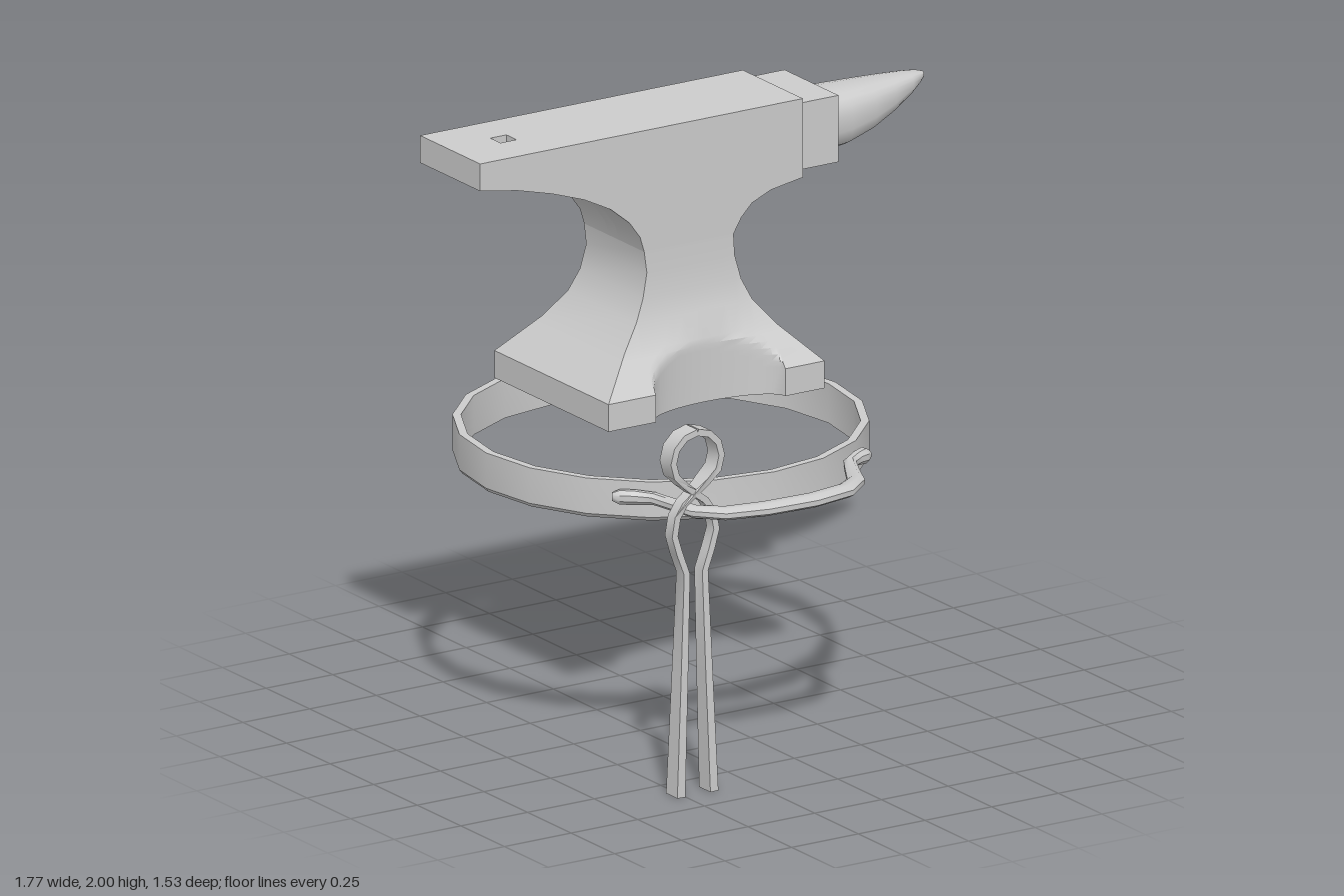
import * as THREE from 'three';
import { toCreasedNormals } from 'three/addons/utils/BufferGeometryUtils.js';

const material = new THREE.MeshStandardMaterial({ color: 0xcccccc });
const V = (x, y, z) => new THREE.Vector3(x, y, z);
const ZC = -0.1125; // middle plane of the anvil

function part(name, geometry, crease = 0.6) {
  const mesh = new THREE.Mesh(toCreasedNormals(geometry, crease), material);
  mesh.name = name;
  return mesh;
}

// Skin rings of equal length, each counterclockwise as seen from the last one.
function loft(rings) {
  const out = [];
  const quad = (a, b, c, d) => out.push(a, b, c, a, c, d);
  const n = rings[0].length;
  for (let k = 0; k < rings.length - 1; k++) {
    const lo = rings[k], hi = rings[k + 1];
    for (let i = 0; i < n; i++) {
      const j = (i + 1) % n;
      quad(lo[i], lo[j], hi[j], hi[i]);
    }
  }
  const first = rings[0], last = rings[rings.length - 1];
  for (let i = 0; i < n / 2 - 1; i++) {
    quad(first[n - 1 - i], first[n - 2 - i], first[i + 1], first[i]);
    quad(last[i], last[i + 1], last[n - 2 - i], last[n - 1 - i]);
  }
  return new THREE.BufferGeometry().setFromPoints(out);
}

// Linear lookup in rows whose first entry is the key.
function lookup(rows, key, column) {
  let i = 0;
  while (i < rows.length - 2 && key > rows[i + 1][0]) i++;
  const [a, b] = [rows[i], rows[i + 1]];
  const t = THREE.MathUtils.clamp((key - a[0]) / (b[0] - a[0]), 0, 1);
  return THREE.MathUtils.lerp(a[column], b[column], t);
}

// Foot and waist: flared block with a rounded notch in the front and back.
function makeBase() {
  const rows = [ // y, left x, right x, half depth
    [1.09, -0.51, 0.30, 0.3275], [1.18, -0.51, 0.30, 0.3275], [1.3, -0.39, 0.18, 0.235],
    [1.38, -0.32, 0.115, 0.197], [1.45, -0.285, 0.083, 0.181], [1.53, -0.266, 0.063, 0.174],
    [1.6, -0.275, 0.06, 0.1725]];
  const levels = [1.09, 1.18, 1.2, 1.22, 1.24, 1.26, 1.28, 1.3, 1.38, 1.45, 1.53, 1.6];
  const steps = 14, mid = -0.09, half = 0.243;
  const rings = levels.map((y) => {
    const [x0, x1, h] = [1, 2, 3].map((c) => lookup(rows, y, c));
    const edge = [[x0, h]];
    for (let i = 0; i <= steps; i++) {
      const u = -Math.cos((i / steps) * Math.PI);
      const notch = 0.2375 + 0.09 * (1 - Math.sqrt(Math.max(0, 1 - u * u)));
      edge.push([THREE.MathUtils.clamp(mid + u * half, x0, x1), Math.min(h, notch)]);
    }
    edge.push([x1, h]);
    return [...edge.map(([x, z]) => V(x, y, ZC + z)),
      ...edge.reverse().map(([x, z]) => V(x, y, ZC - z))];
  });
  return part('base', loft(rings), 0.5);
}

// Face and heel: slabs side by side, the middle one parted by the square hole.
function makeFace() {
  const group = new THREE.Group();
  group.name = 'face';
  const under = [[-0.89, 1.91], [-0.75, 1.887], [-0.62, 1.853], [-0.5, 1.812], [-0.4, 1.762],
    [-0.33, 1.705], [-0.29, 1.65], [-0.275, 1.6], [0.06, 1.6], [0.09, 1.65], [0.13, 1.69],
    [0.2, 1.72], [0.32, 1.74]];
  const slab = (x0, x1, z0, z1) => {
    const points = [[x0, lookup(under, x0, 1)], ...under.filter(([x]) => x > x0 && x < x1),
      [x1, lookup(under, x1, 1)], [x1, 2], [x0, 2]];
    const shape = new THREE.Shape(points.map(([x, y]) => new THREE.Vector2(x, y)));
    const geometry = new THREE.ExtrudeGeometry(shape, { depth: z1 - z0, bevelEnabled: false });
    group.add(part('faceSlab', geometry.translate(0, 0, z0)));
  };
  const back = ZC - 0.1725, front = ZC + 0.1725;
  slab(-0.89, 0.32, back, ZC - 0.029);
  slab(-0.89, 0.32, ZC + 0.029, front);
  slab(-0.89, -0.72, ZC - 0.029, ZC + 0.029);
  slab(-0.66, 0.32, ZC - 0.029, ZC + 0.029);
  return group;
}

// Horn: rounded square sections shrinking to a raised tip.
function makeHorn() {
  const rows = [ // x, bottom, top, half width
    [0.46, 1.765, 1.957, 0.118], [0.55, 1.772, 1.957, 0.11], [0.65, 1.8, 1.956, 0.093],
    [0.74, 1.84, 1.955, 0.07], [0.82, 1.885, 1.953, 0.045], [0.86, 1.912, 1.95, 0.026],
    [0.88, 1.925, 1.945, 0.01]];
  const soft = (v) => Math.sign(v) * Math.abs(v) ** 0.72;
  const rings = rows.map(([x, y0, y1, w]) => Array.from({ length: 20 }, (_, i) => {
    const a = ((i + 0.5) / 20) * Math.PI * 2;
    return V(x, (y0 + y1) / 2 + soft(Math.sin(a)) * (y1 - y0) / 2, ZC - soft(Math.cos(a)) * w);
  }));
  return part('horn', loft(rings), 0.8);
}

// Band that circles the stump.
function makeBand() {
  const profile = [[0.628, 0.845], [0.645, 0.845], [0.655, 0.858], [0.655, 0.975],
    [0.628, 0.975], [0.628, 0.845]].map(([r, y]) => new THREE.Vector2(r, y));
  const band = part('band', new THREE.LatheGeometry(profile, 20), 0.5);
  band.position.set(-0.1, 0, ZC);
  return band;
}

// Hanging bar: bowed rod, thicker in the middle, with knobbed ends on the band.
function makeBar() {
  const rows = [ // x, z, horizontal radius, vertical radius
    [-0.585, 0.35, 0.012, 0.014], [-0.565, 0.365, 0.022, 0.025], [-0.53, 0.395, 0.022, 0.025],
    [-0.485, 0.44, 0.022, 0.02], [-0.47, 0.52, 0.022, 0.02], [-0.45, 0.62, 0.028, 0.02],
    [-0.38, 0.685, 0.035, 0.021], [-0.25, 0.715, 0.038, 0.022], [-0.08, 0.724, 0.038, 0.022],
    [0.06, 0.7, 0.036, 0.022], [0.14, 0.64, 0.03, 0.02], [0.19, 0.54, 0.024, 0.02],
    [0.225, 0.475, 0.022, 0.02], [0.27, 0.445, 0.023, 0.023], [0.305, 0.433, 0.026, 0.027],
    [0.325, 0.43, 0.014, 0.015]];
  const up = V(0, 1, 0);
  const at = (i) => V(rows[i][0], 0.927, rows[i][1]);
  const rings = rows.map(([, , w, h], i) => {
    const ahead = at(Math.min(i + 1, rows.length - 1)).sub(at(Math.max(i - 1, 0))).normalize();
    const side = up.clone().cross(ahead);
    return Array.from({ length: 8 }, (_, k) => {
      const a = ((k + 0.5) / 8) * Math.PI * 2;
      return at(i).addScaledVector(side, Math.cos(a) * w).addScaledVector(up, Math.sin(a) * h);
    });
  });
  return part('hangingBar', loft(rings), 0.7);
}

// Tongs: two mirrored ribbons that cross below a looped top.
function makeTongs() {
  const group = new THREE.Group();
  group.name = 'tongs';
  group.position.set(-0.455, 0, 0.611);
  const path = [ // x, y, half width
    [-0.062, 0, 0.015], [-0.046, 0.4, 0.013], [-0.034, 0.73, 0.011], [-0.06, 0.8, 0.011],
    [-0.078, 0.86, 0.011], [-0.067, 0.92, 0.011], [-0.04, 0.96, 0.011], [0, 0.99, 0.011]];
  for (let i = 1; i <= 6; i++) {
    const a = -Math.PI / 2 + (i / 6) * Math.PI;
    path.push([Math.cos(a) * 0.09, 1.105 + Math.sin(a) * 0.09, 0.011]);
  }
  const thickness = [[0, 0.0325], [0.95, 0.02], [1.0, 0.022], [1.04, 0.0325], [1.3, 0.0325]];
  for (const side of [1, -1]) {
    const points = path.map(([x, y]) => new THREE.Vector2(x * side, y));
    const rims = [1, -1].map((rim) => points.map((p, i) => {
      const t = points[Math.min(i + 1, points.length - 1)].clone()
        .sub(points[Math.max(i - 1, 0)]).normalize();
      return new THREE.Vector2(p.x - t.y * rim * path[i][2], p.y + t.x * rim * path[i][2]);
    }));
    const shape = new THREE.Shape([...rims[0], ...rims[1].reverse()]);
    const geometry = new THREE.ExtrudeGeometry(shape, { depth: 2, bevelEnabled: false });
    geometry.translate(0, 0, -1);
    const pos = geometry.attributes.position;
    for (let i = 0; i < pos.count; i++) {
      pos.setZ(i, pos.getZ(i) * lookup(thickness, pos.getY(i), 1));
    }
    group.add(part(side > 0 ? 'rightTong' : 'leftTong', geometry));
  }
  return group;
}

export function createModel() {
  const model = new THREE.Group();
  model.name = 'anvil';
  // Block between the face and the horn
  const step = part('step', new THREE.BoxGeometry(0.15, 0.22, 0.31));
  step.position.set(0.39, 1.87, ZC);
  model.add(makeBase(), makeFace(), step, makeHorn(), makeBand(), makeBar(), makeTongs());
  return model;
}
